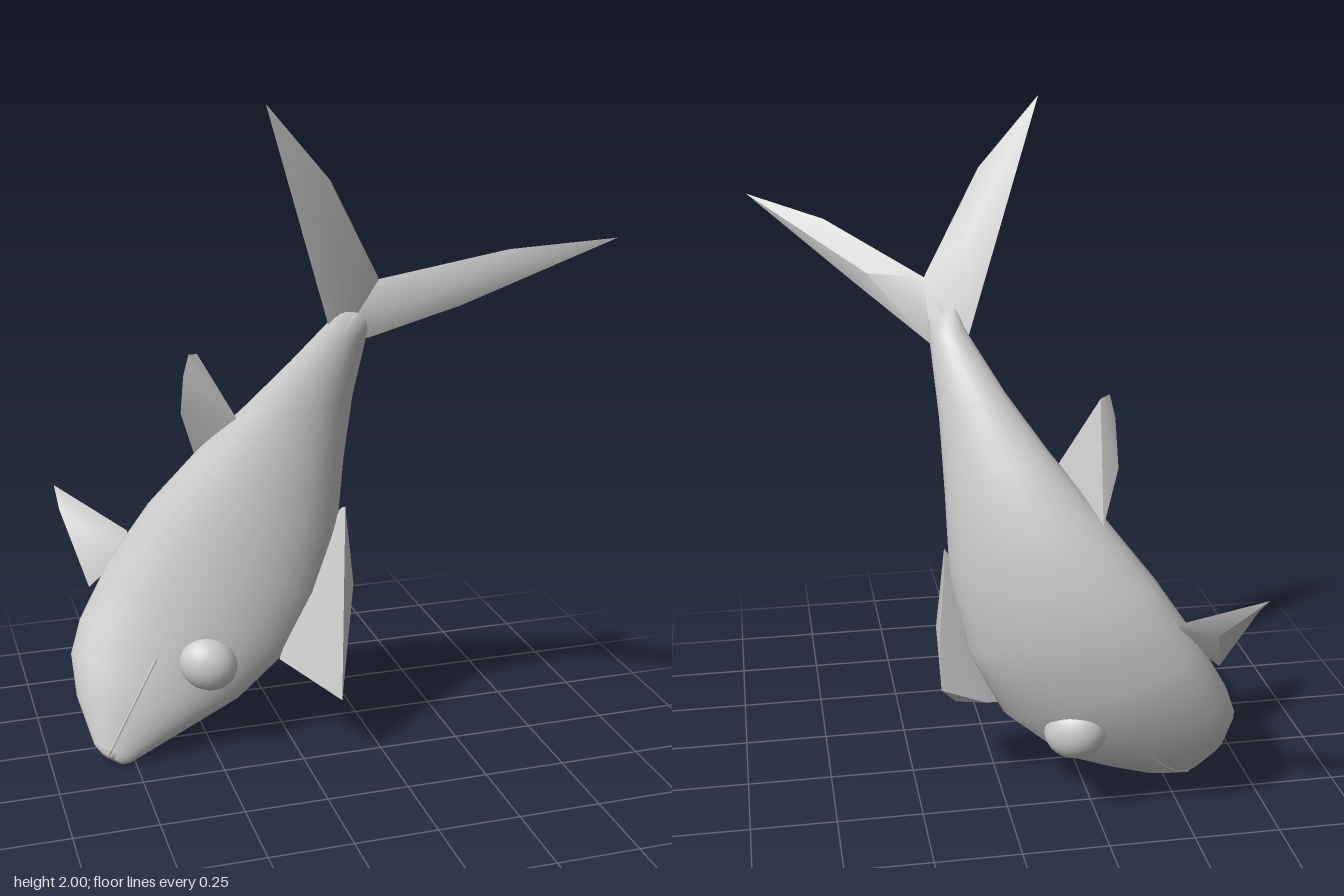
import * as THREE from 'three';
import { toCreasedNormals } from 'three/addons/utils/BufferGeometryUtils.js';
import { ConvexGeometry } from 'three/addons/geometries/ConvexGeometry.js';

const V = (x, y, z) => new THREE.Vector3(x, y, z);

// Body frame at the tail root: U along the tail, N to the flank, D to the back
const P = V(0.13, 1.36, 0.02);
const U = V(0.145, 0.80, 0.58).normalize();
const D = V(0.82, -0.43, 0.37).normalize();
const N = D.clone().cross(U).normalize();
const at = (u, n, d) => P.clone().addScaledVector(U, u).addScaledVector(N, n).addScaledVector(D, d);

// Cross-sections from tail to nose: u, n on the bent spine, belly, back, half width
const SECTIONS = [
  [0.07, 0.005, -0.045, 0.045, 0.012],
  [0, 0.01, -0.055, 0.055, 0.05],
  [-0.20, 0.04, -0.11, 0.095, 0.07],
  [-0.40, 0.09, -0.175, 0.155, 0.10],
  [-0.60, 0.16, -0.25, 0.23, 0.135],
  [-0.80, 0.262, -0.315, 0.28, 0.15],
  [-0.98, 0.387, -0.35, 0.275, 0.145],
  [-1.12, 0.54, -0.35, 0.20, 0.12],
  [-1.17, 0.635, -0.325, 0.13, 0.10],
  [-1.22, 0.73, -0.25, 0.06, 0.072],
  [-1.26, 0.83, -0.135, -0.01, 0.032],
  [-1.265, 0.845, -0.10, -0.03, 0.015],
];

// Flank direction of a section, square to the spine
function flank(i) {
  const a = SECTIONS[Math.max(i - 1, 0)], b = SECTIONS[Math.min(i + 1, SECTIONS.length - 1)];
  const du = b[0] - a[0], dn = b[1] - a[1], l = Math.hypot(du, dn);
  return [dn / l, -du / l];
}

// Point on a section: across = -1..1 of the half width, d = height toward the back
function sectionPoint(i, across, d) {
  const [u, n, , , w] = SECTIONS[i], [fu, fn] = flank(i);
  return at(u + fu * w * across, n + fn * w * across, d);
}

function bodyGeometry(sides = 28) {
  const pos = [], index = [], rows = SECTIONS.length;
  SECTIONS.forEach(([, , lo, hi], i) => {
    for (let j = 0; j < sides; j++) {
      const t = (j / sides) * Math.PI * 2;
      pos.push(...sectionPoint(i, Math.cos(t), (lo + hi) / 2 + (hi - lo) / 2 * Math.sin(t)).toArray());
    }
  });
  for (let i = 0; i < rows - 1; i++) {
    for (let j = 0; j < sides; j++) {
      const k = (j + 1) % sides;
      const a = i * sides + j, b = i * sides + k, c = a + sides, d = b + sides;
      index.push(a, c, b, b, c, d);
    }
  }
  // End caps
  for (let j = 1; j < sides - 1; j++) {
    const o = (rows - 1) * sides;
    index.push(0, j, j + 1, o, o + j + 1, o + j);
  }
  const g = new THREE.BufferGeometry();
  g.setAttribute('position', new THREE.Float32BufferAttribute(pos, 3));
  g.setIndex(index);
  g.computeVertexNormals();
  return g;
}

// Thin fin: an outline swelling to a raised middle on both faces
function thinFin(outline, thickness) {
  const pts = outline.map(p => V(...p)), n = pts.length;
  const mid = V(0, 0, 0), normal = V(0, 0, 0);
  pts.forEach((p, i) => {
    mid.addScaledVector(p, 1 / n);
    normal.add(p.clone().cross(pts[(i + 1) % n]));
  });
  normal.normalize();
  const top = mid.clone().addScaledVector(normal, thickness / 2);
  const bottom = mid.clone().addScaledVector(normal, -thickness / 2);
  const tris = [];
  pts.forEach((p, i) => {
    const q = pts[(i + 1) % n];
    tris.push(top, p, q, bottom, q, p);
  });
  const g = new THREE.BufferGeometry().setFromPoints(tris);
  g.computeVertexNormals();
  return toCreasedNormals(g, 0.9);
}

// Thick fin: a solid wedge around its corner points
const thickFin = corners => toCreasedNormals(new ConvexGeometry(corners.map(p => V(...p))), 0.7);

const THIN_FINS = {
  lowerTailLobe: [[0.07, 1.36, 0.01], [-0.16, 2, 0.2], [0.01, 1.8, 0.21], [0.18, 1.51, 0.12], [0.17, 1.34, 0.05]],
  upperTailLobe: [[0.08, 1.38, 0.01], [0.18, 1.51, 0.12], [0.44, 1.63, 0.4], [0.66, 1.68, 0.575],
    [0.36, 1.46, 0.28], [0.17, 1.33, 0.06]],
  pelvicFin: [[-0.65, 0.76, -0.575], [-0.45, 0.64, -0.43], [-0.44, 0.6, -0.39], [-0.58, 0.48, -0.39], [-0.645, 0.7, -0.51]],
};

const THICK_FINS = {
  dorsalFin: [[0.16, 0.77, -0.1], [0.165, 0.75, -0.15], [0.185, 0.52, -0.09], [0.184, 0.5, -0.16], [0.18, 0.35, -0.165],
    [0.11, 0.2, 0.04], [-0.04, 0.28, -0.13], [0.05, 0.3, -0.165], [0.11, 0.7, -0.14]],
  analFin: [[-0.285, 1.245, -0.22], [-0.255, 1.24, -0.24], [-0.19, 1.07, -0.21], [-0.14, 1.03, -0.2],
    [-0.25, 0.9, -0.33], [-0.3, 1.05, -0.28], [-0.3, 1.18, -0.23]],
};

export function createModel() {
  const group = new THREE.Group();
  const grey = new THREE.MeshStandardMaterial({ color: 0xcccccc, side: THREE.DoubleSide });
  const add = (name, geometry) => {
    const mesh = new THREE.Mesh(geometry, grey);
    mesh.name = name;
    group.add(mesh);
    return mesh;
  };

  add('body', bodyGeometry());
  for (const [name, outline] of Object.entries(THIN_FINS)) add(name, thinFin(outline, 0.06));
  for (const [name, corners] of Object.entries(THICK_FINS)) add(name, thickFin(corners));

  // Bulging eyes, flattened against each flank
  const side = U.clone().multiplyScalar(0.53).addScaledVector(N, 0.85).normalize();
  const eyeAxes = new THREE.Matrix4().makeBasis(side, D.clone().cross(side).negate(), D.clone().negate());
  for (const s of [-1, 1]) {
    const eye = add(s > 0 ? 'leftEye' : 'rightEye', new THREE.SphereGeometry(1, 24, 16));
    eye.position.copy(at(-1.057, 0.465, 0.066)).addScaledVector(side, s * 0.105);
    eye.quaternion.setFromRotationMatrix(eyeAxes);
    eye.scale.set(0.073, 0.083, 0.093);
  }

  // Mouth line round the snout
  const mouth = [];
  for (const s of [1, -1]) {
    const line = [7, 8, 9, 10, 11].map(i => {
      const [, , lo, hi] = SECTIONS[i], d = -0.08;
      const k = (d - (lo + hi) / 2) / ((hi - lo) / 2);
      return sectionPoint(i, s * Math.sqrt(Math.max(0, 1 - k * k)), d);
    });
    mouth.push(...(s > 0 ? line : line.reverse()));
  }
  const path = new THREE.CurvePath();
  for (let i = 1; i < mouth.length; i++) path.add(new THREE.LineCurve3(mouth[i - 1], mouth[i]));
  add('mouth', new THREE.TubeGeometry(path, 60, 0.004, 6));

  return group;
}
